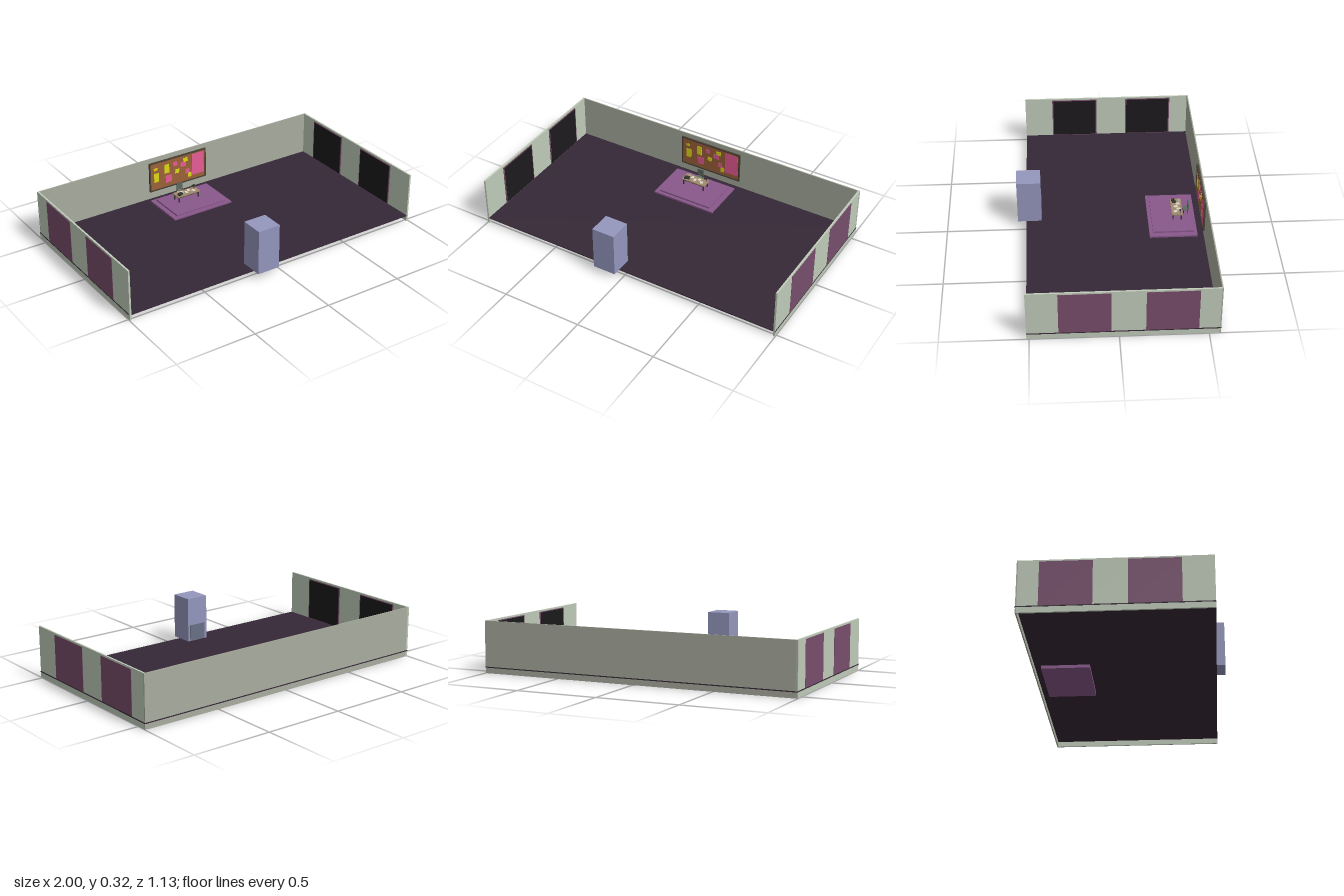
import * as THREE from 'three';

const mat = (color) => new THREE.MeshStandardMaterial({ color });
const M = {
  sideWall: mat(0xc0ccba), backWall: mat(0xa9ad9f), floor: mat(0x362837), purple: mat(0x8a588c),
  maroon: mat(0x784e6c), black: mat(0x1c1a1c), blue: mat(0x9496bd), slate: mat(0x687084),
  cork: mat(0x9c6238), frame: mat(0x4a4034), yellow: mat(0xe0d818), pink: mat(0xe85c94),
  wood: mat(0xa08a70), dark: mat(0x35382f), chair: mat(0x5c6a60), paper: mat(0xdcd8c4),
};

// Box given by its low and high limits on each axis
function box(parent, name, material, [x0, x1], [y0, y1], [z0, z1]) {
  const mesh = new THREE.Mesh(new THREE.BoxGeometry(x1 - x0, y1 - y0, z1 - z0), material);
  mesh.position.set((x0 + x1) / 2, (y0 + y1) / 2, (z0 + z1) / 2);
  mesh.name = name;
  parent.add(mesh);
  return mesh;
}

function group(parent, name) {
  const g = new THREE.Group();
  g.name = name;
  parent.add(g);
  return g;
}

export function createModel() {
  const model = new THREE.Group();
  model.name = 'room';

  // Floor and walls; the floor sits above the feet of the walls
  box(model, 'floor', M.floor, [-1, 1], [0.034, 0.04], [-0.567, 0.515]);
  box(model, 'backWall', M.backWall, [-0.999, 0.999], [0, 0.32], [-0.565, -0.558]);
  for (const s of [-1, 1]) {
    const side = group(model, s < 0 ? 'rightSide' : 'leftSide');
    const span = (a, b) => (s > 0 ? [a, b] : [-b, -a]);
    box(side, 'sideWall', M.sideWall, span(0.987, 0.998), [0, 0.32], [-0.565, 0.515]);
    // Doors pass through the wall, with a black panel on the inside
    for (const z of [-0.295, 0.19]) {
      box(side, 'door', M.maroon, span(0.982, 1), [0.04, 0.31], [z - 0.147, z + 0.147]);
      box(side, 'doorInnerPanel', M.black, span(0.98, 0.983), [0.045, 0.305], [z - 0.14, z + 0.14]);
    }
  }

  // Two-step platform
  box(model, 'platformBase', M.purple, [-0.245, 0.175], [0.015, 0.05], [-0.52, -0.23]);
  box(model, 'platformStep', M.purple, [-0.215, 0.142], [0.05, 0.06], [-0.5, -0.252]);

  // Pin board
  const board = group(model, 'pinBoard');
  box(board, 'cork', M.cork, [-0.222, 0.182], [0.098, 0.282], [-0.558, -0.551]);
  for (const y of [0.09, 0.282]) box(board, 'boardFrame', M.frame, [-0.23, 0.19], [y, y + 0.008], [-0.558, -0.547]);
  for (const x of [-0.23, 0.182]) box(board, 'boardFrame', M.frame, [x, x + 0.008], [0.09, 0.29], [-0.558, -0.547]);
  box(board, 'poster', M.pink, [0.085, 0.175], [0.125, 0.272], [-0.551, -0.549]);
  // Notes: centre x, centre y, width, height, colour, tilt
  const notes = [
    [-0.18, 0.18, 0.035, 0.062, 'yellow', 0], [-0.185, 0.24, 0.025, 0.016, 'yellow', 0.1],
    [-0.103, 0.223, 0.036, 0.062, 'yellow', 0], [-0.09, 0.15, 0.045, 0.05, 'pink', 0.08],
    [-0.026, 0.185, 0.03, 0.028, 'yellow', -0.1], [0.037, 0.249, 0.033, 0.027, 'yellow', 0.08],
    [0.02, 0.22, 0.04, 0.03, 'pink', -0.05], [0.05, 0.165, 0.03, 0.03, 'pink', 0.1],
    [0.067, 0.134, 0.026, 0.03, 'yellow', -0.06], [-0.04, 0.24, 0.03, 0.03, 'pink', 0.06],
  ];
  for (const [x, y, w, h, c, tilt] of notes) {
    const note = box(board, 'note', M[c], [x - w / 2, x + w / 2], [y - h / 2, y + h / 2], [-0.551, -0.549]);
    note.rotation.z = tilt;
  }

  // Desk on four legs
  const desk = group(model, 'desk');
  box(desk, 'deskTop', M.wood, [-0.13, 0.035], [0.097, 0.104], [-0.442, -0.375]);
  box(desk, 'deskRail', M.dark, [-0.122, 0.027], [0.09, 0.097], [-0.436, -0.381]);
  for (const x of [-0.122, 0.02])
    for (const z of [-0.437, -0.387]) box(desk, 'deskLeg', M.dark, [x, x + 0.007], [0.06, 0.097], [z, z + 0.007]);

  // Things on the desk: papers, a case, a cup and a lamp
  [[-0.05, -0.405, 0.3], [-0.025, -0.42, -0.2], [0.0, -0.4, 0.5], [-0.075, -0.42, 0.1]].forEach(([x, z, turn], i) => {
    const y = 0.104 + i * 0.0005;
    box(desk, 'paper', M.paper, [x - 0.009, x + 0.009], [y, y + 0.001], [z - 0.012, z + 0.012]).rotation.y = turn;
  });
  box(desk, 'case', M.dark, [-0.118, -0.085], [0.104, 0.116], [-0.405, -0.385]).rotation.y = 0.3;
  const cup = new THREE.Mesh(new THREE.CylinderGeometry(0.005, 0.004, 0.012, 10), M.paper);
  cup.name = 'cup';
  cup.position.set(-0.1, 0.11, -0.428);
  desk.add(cup);
  box(desk, 'lampPost', M.dark, [0.02, 0.023], [0.104, 0.128], [-0.428, -0.425]);
  box(desk, 'lampHead', M.dark, [0.006, 0.025], [0.122, 0.128], [-0.431, -0.422]).rotation.z = 0.3;

  // Chair behind the desk
  const chair = group(model, 'chair');
  box(chair, 'seat', M.chair, [-0.074, -0.032], [0.082, 0.087], [-0.482, -0.45]);
  box(chair, 'chairBack', M.chair, [-0.074, -0.032], [0.092, 0.135], [-0.486, -0.48]);
  for (const x of [-0.073, -0.037])
    for (const z of [-0.481, -0.455]) box(chair, 'chairLeg', M.dark, [x, x + 0.004], [0.06, z < -0.47 ? 0.095 : 0.082], [z, z + 0.004]);

  // Tall cabinet at the front edge, with a low hatch towards the room
  const cabinet = group(model, 'cabinet');
  box(cabinet, 'cabinetBody', M.blue, [-0.175, -0.03], [0.04, 0.32], [0.422, 0.567]);
  box(cabinet, 'hatch', M.slate, [-0.16, -0.045], [0.042, 0.145], [0.42, 0.423]);
  return model;
}
